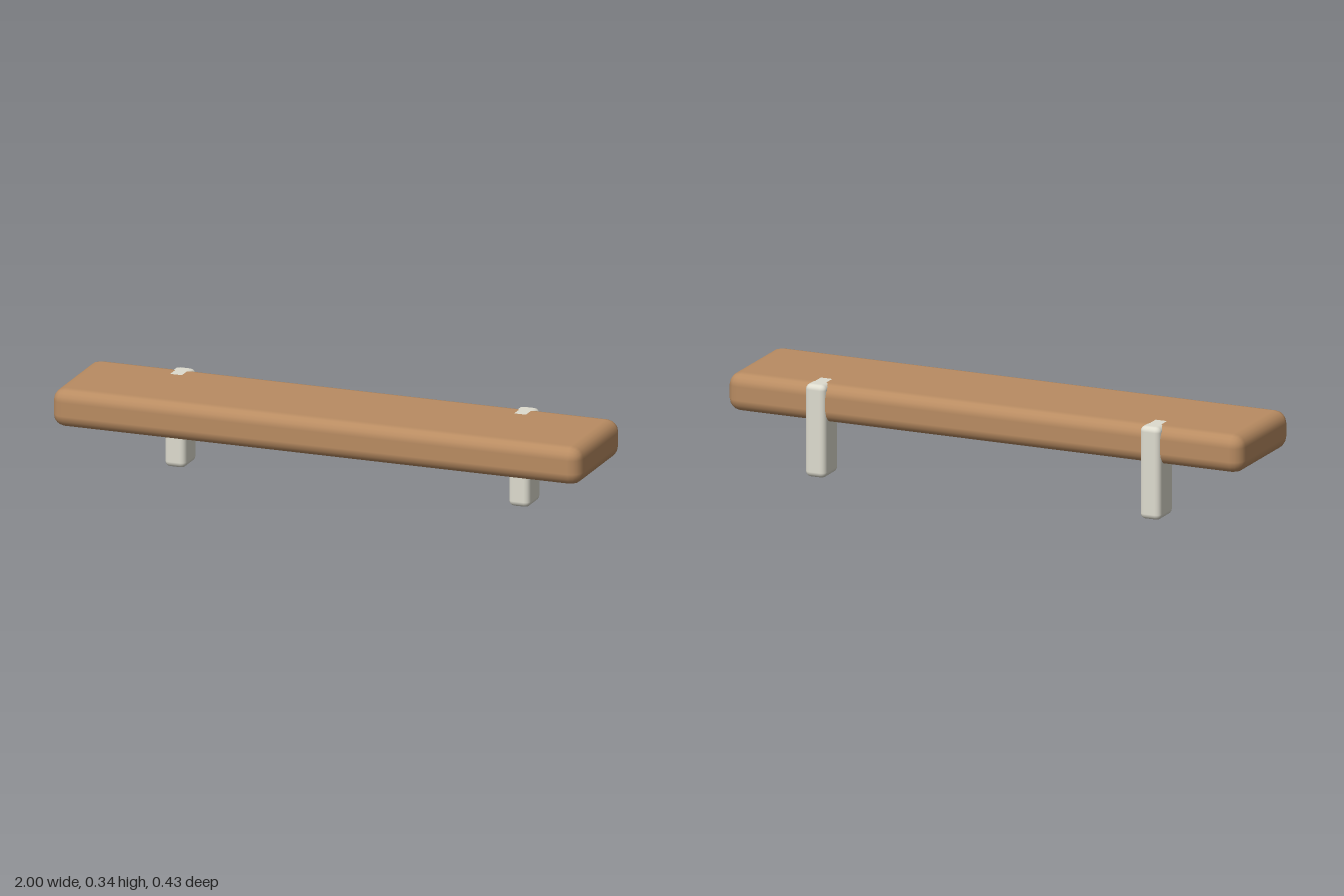
import * as THREE from 'three';
import { RoundedBoxGeometry } from 'three/addons/geometries/RoundedBoxGeometry.js';

// Rounded block spanning the given min and max corners
function block(name, min, max, radius, color) {
  const lo = new THREE.Vector3(...min);
  const size = new THREE.Vector3(...max).sub(lo);
  const mesh = new THREE.Mesh(
    new RoundedBoxGeometry(size.x, size.y, size.z, 2, radius),
    new THREE.MeshStandardMaterial({ color })
  );
  mesh.position.copy(lo).addScaledVector(size, 0.5);
  mesh.name = name;
  return mesh;
}

export function createModel() {
  const group = new THREE.Group();
  group.name = 'shelf';

  // Wooden board
  group.add(block('board', [-1, 0.2, -0.205], [1, 0.34, 0.215], 0.045, 0xb98c62));

  // Pair of wall brackets, let into the back edge with their tops just showing
  for (const [side, x] of [['left', 0.65], ['right', -0.65]]) {
    group.add(block(`${side}Bracket`, [x - 0.04, 0, -0.215], [x + 0.04, 0.3405, -0.095], 0.02, 0xdedccf));
  }
  return group;
}
